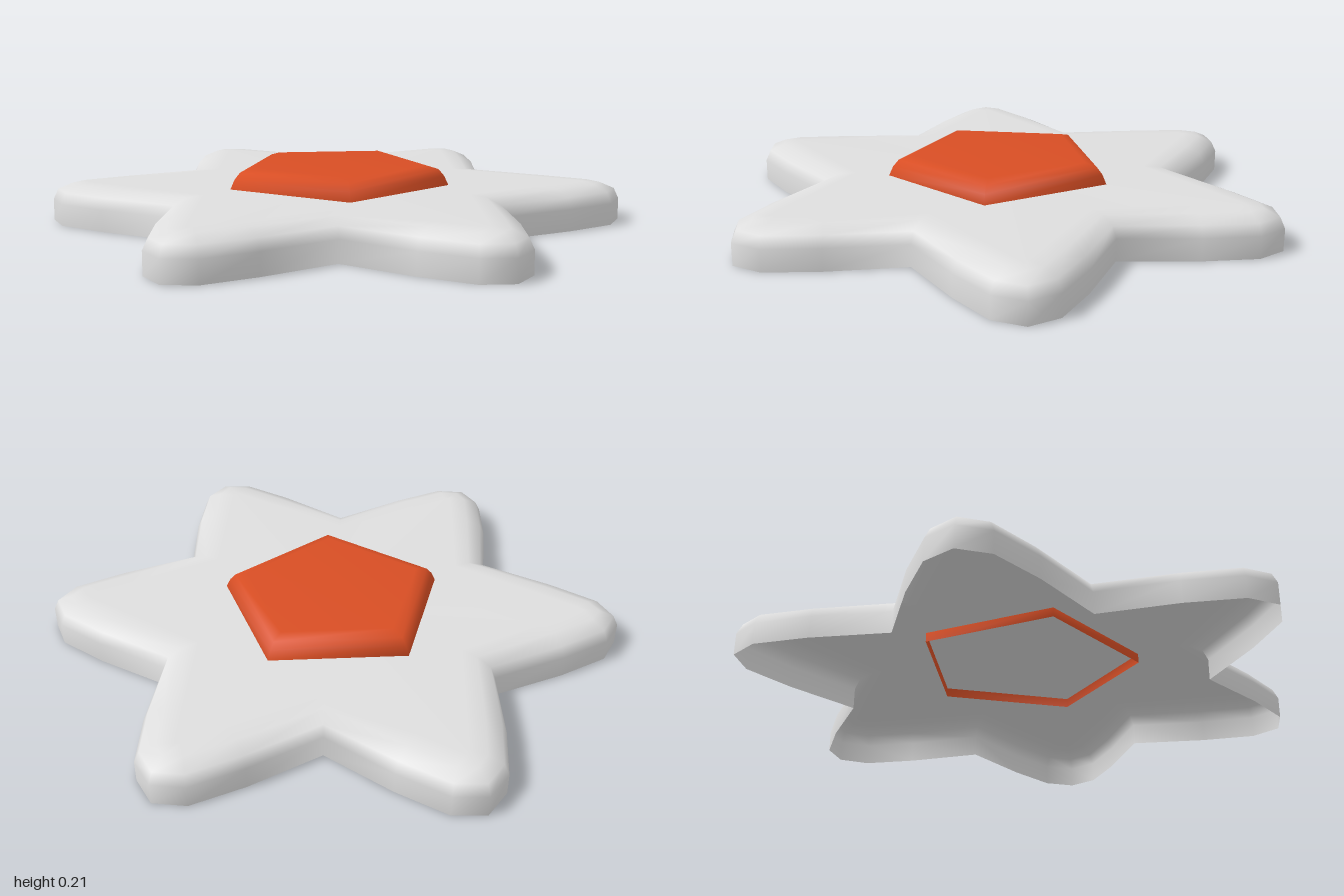
import * as THREE from 'three';

// Point at a compass angle (degrees from -z towards +x)
function polar(r, deg) {
  const a = THREE.MathUtils.degToRad(deg);
  return new THREE.Vector2(r * Math.sin(a), -r * Math.cos(a));
}

// Open-bottomed shell: an outline stacked in levels [inset, y], closed by a cap
function shell(outline, levels, capY) {
  const n = outline.length;
  const normals = outline.map((p, i) => {
    const e1 = p.clone().sub(outline[(i + n - 1) % n]).normalize();
    const e2 = outline[(i + 1) % n].clone().sub(p).normalize();
    const t = e1.add(e2).normalize();
    return new THREE.Vector2(t.y, -t.x);
  });
  const pos = [], idx = [];
  for (const [inset, y] of levels) {
    outline.forEach((p, i) => {
      pos.push(p.x - normals[i].x * inset, y, p.y - normals[i].y * inset);
    });
  }
  const last = (levels.length - 1) * n;
  const centre = pos.length / 3;
  pos.push(0, capY, 0);
  for (let i = 0; i < n; i++) {
    const k = (i + 1) % n;
    for (let j = 0; j < levels.length - 1; j++) {
      const a = j * n + i, b = j * n + k;
      idx.push(a, a + n, b, b, a + n, b + n);
    }
    idx.push(centre, last + k, last + i);
  }
  const g = new THREE.BufferGeometry();
  g.setAttribute('position', new THREE.Float32BufferAttribute(pos, 3));
  g.setIndex(idx);
  g.computeVertexNormals();
  return g;
}

export function createModel() {
  const petalGrey = new THREE.MeshStandardMaterial({ color: 0xdedede, side: THREE.DoubleSide });
  petalGrey.name = 'petalGrey';
  const centreOrange = new THREE.MeshStandardMaterial({ color: 0xd84e24, side: THREE.DoubleSide });
  centreOrange.name = 'centreOrange';

  // Six petals: rounded tip, shoulders and the valley between neighbours
  const petal = [[1, 0], [0.955, 6], [0.815, 14.2], [0.635, 30], [0.815, 45.8], [0.955, 54]];
  const star = [];
  for (let k = 0; k < 6; k++) {
    for (const [r, a] of petal) star.push(polar(r, a + k * 60));
  }
  const petals = new THREE.Mesh(
    shell(star, [[0, 0], [0, 0.075], [0.018, 0.112], [0.07, 0.134], [0.13, 0.138]], 0.138),
    petalGrey
  );
  petals.name = 'petals';

  // Five-sided centre, its wall reaching a little below the petal surface
  const pentagon = [0, 1, 2, 3, 4].map((k) => polar(0.395, k * 72));
  const centre = new THREE.Mesh(
    shell(pentagon, [[0, 0.105], [0, 0.138], [0.015, 0.17], [0.035, 0.193], [0.08, 0.205]], 0.206),
    centreOrange
  );
  centre.name = 'flowerCentre';

  const group = new THREE.Group();
  group.name = 'flower';
  group.add(petals, centre);
  return group;
}
